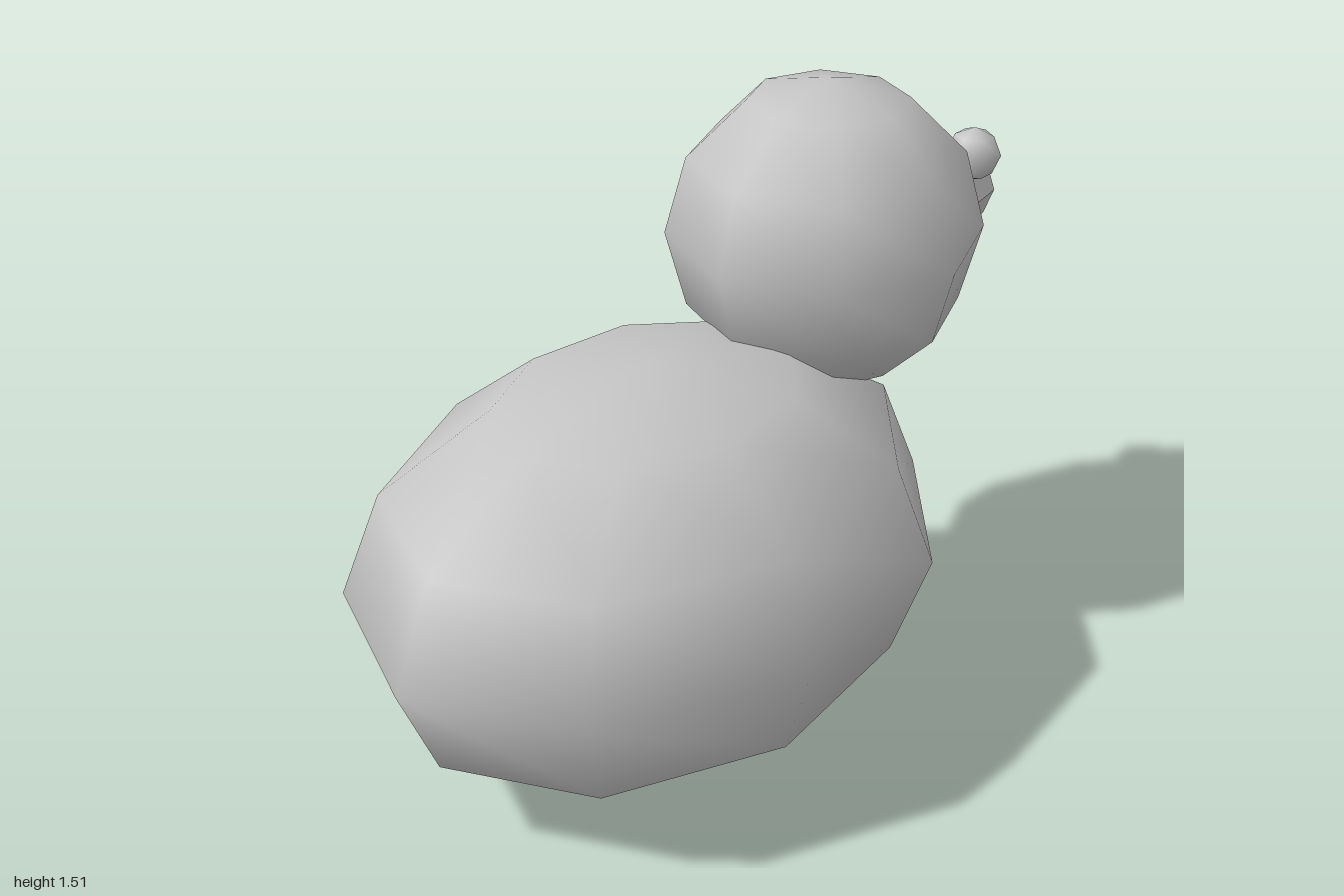
import * as THREE from 'three';

export function createModel() {
  const grey = new THREE.MeshStandardMaterial({ color: 0xc4c4c4 });
  grey.name = 'plain grey';
  const beakGrey = grey.clone();
  beakGrey.name = 'faceted grey';
  beakGrey.flatShading = true;

  const model = new THREE.Group();
  model.name = 'bird';

  const add = (name, geometry, material, x, y, z) => {
    const mesh = new THREE.Mesh(geometry, material);
    mesh.name = name;
    mesh.position.set(x, y, z);
    model.add(mesh);
  };

  // Coarse smooth ball with one corner turned to +z, stretched per axis
  const ball = (rx, ry, rz, around, rows) =>
    new THREE.SphereGeometry(1, around, rows).rotateY(Math.PI / 2).scale(rx, ry, rz);

  // Body and head
  add('body', ball(0.62, 0.498, 0.8, 9, 6), grey, 0, 0.498, 0.2);
  add('head', ball(0.39, 0.388, 0.39, 8, 6), grey, 0, 1.12, -0.43);

  // Eyes
  for (const side of [-1, 1]) {
    add(side > 0 ? 'leftEye' : 'rightEye', ball(0.068, 0.068, 0.065, 6, 4), grey, side * 0.207, 1.278, -0.742);
  }

  // Eight-sided tapering beak, its wide end sunk into the head
  const beak = new THREE.CylinderGeometry(0.102, 0.158, 0.3, 8).rotateX(-Math.PI / 2);
  add('beak', beak, beakGrey, 0, 1.07, -0.85);

  return model;
}
